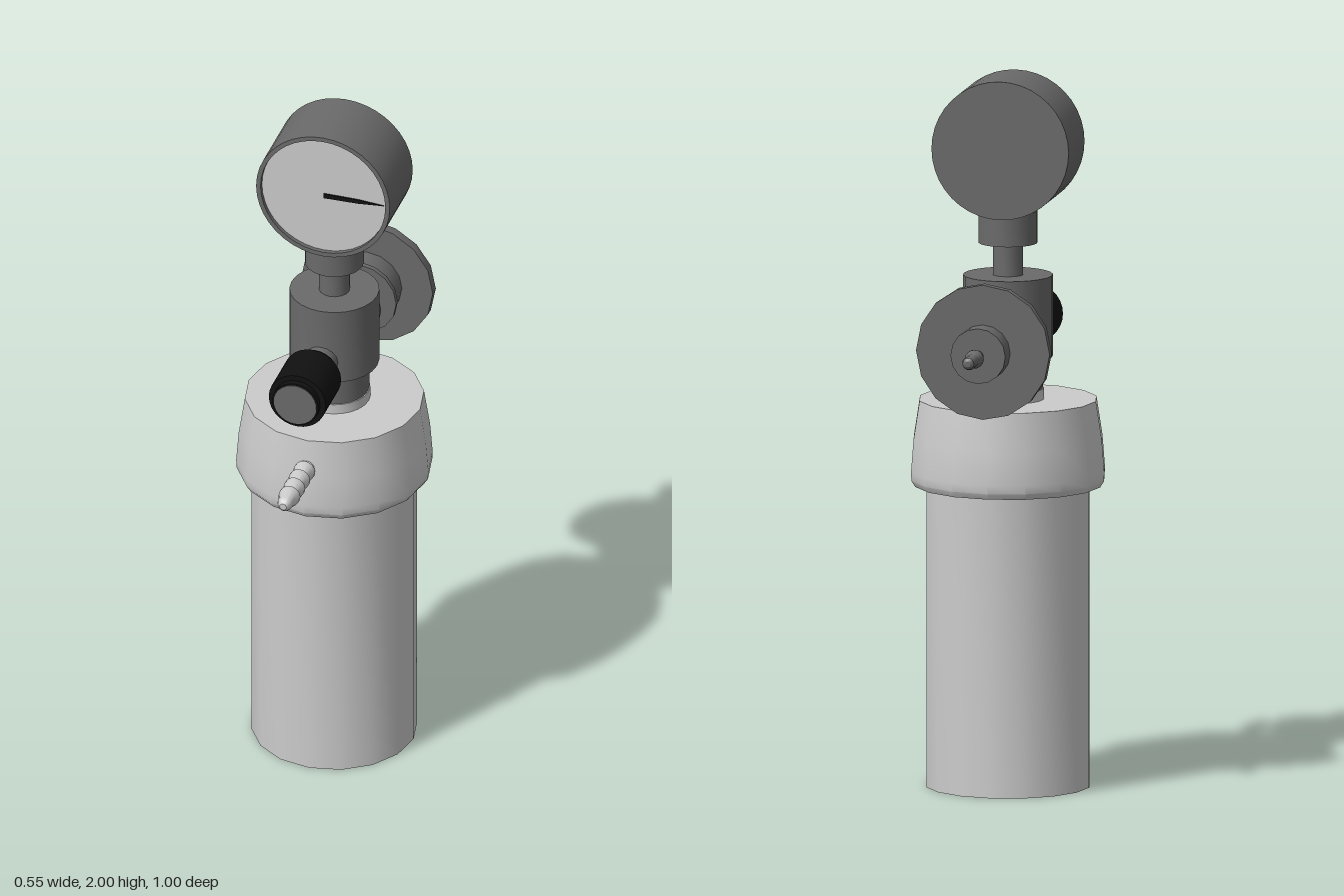
import * as THREE from 'three';
import { toCreasedNormals } from 'three/addons/utils/BufferGeometryUtils.js';

const AXIS_Z = 0.03;   // the bottle axis sits slightly forward
const VALVE_Y = 1.275; // height of the knob and the rear valve

const paint = (color) => new THREE.MeshStandardMaterial({ color });
const light = paint(0xcccccc);
const dark = paint(0x6a6a6a);
const black = paint(0x111111);
const copper = paint(0xd08a45);

// Solid of revolution about y from [radius, height] points, closed at both ends
function turned(points, sides) {
  const closed = [[0, points[0][1]], ...points, [0, points[points.length - 1][1]]];
  const profile = closed.map(([r, h]) => new THREE.Vector2(r, h));
  return toCreasedNormals(new THREE.LatheGeometry(profile, sides), 0.6);
}

// Stepped profile from [radius, start, end] bands
const bands = (list) => list.flatMap(([r, a, b]) => [[r, a], [r, b]]);

export function createModel() {
  const model = new THREE.Group();

  function add(name, geometry, material, y = 0, z = AXIS_Z) {
    const mesh = new THREE.Mesh(geometry, material);
    mesh.name = name;
    mesh.position.set(0, y, z);
    model.add(mesh);
    return mesh;
  }
  const upright = (name, points, material, sides = 16) =>
    add(name, turned(points, sides), material);
  // Profiles measured along +z (forward) or along -z (backward)
  const forward = (name, points, material, y, sides = 16) =>
    add(name, turned(points, sides).rotateX(Math.PI / 2), material, y, 0);
  const backward = (name, points, material, y, sides = 16) =>
    add(name, turned(points, sides).rotateX(-Math.PI / 2), material, y, 0);

  // Bottle and cap
  upright('bottle', bands([[0.231, 0, 0.87]]), light);
  upright('cap', [[0.262, 0.848], [0.273, 0.865], [0.274, 0.89], [0.267, 0.98], [0.25, 1.09]], light);
  const plug = upright('capPlug', bands([[0.03, 1.08, 1.12]]), dark);
  plug.position.z = -0.15;

  // Column between cap and gauge
  upright('neckRing', bands([[0.1, 1.08, 1.12]]), light, 24);
  upright('neck', bands([[0.097, 1.12, 1.22]]), dark, 24);
  upright('valveBlock', bands([[0.125, 1.21, 1.44]]), dark, 24);
  upright('gaugeStem', bands([[0.043, 1.43, 1.54]]), dark);
  upright('gaugeSocket', [[0.082, 1.53], [0.082, 1.62], [0.06, 1.635]], dark, 24);

  // Gauge: cup with a raised rim, dial and needle
  const gaugeY = 1.805;
  forward('gaugeCase', [[0.195, -0.075], [0.195, 0.135], [0.182, 0.135], [0.182, 0.12]], dark, gaugeY, 40);
  add('dial', new THREE.CircleGeometry(0.182, 40), light, gaugeY, 0.122);
  const pointer = new THREE.Shape([
    new THREE.Vector2(0, -0.007), new THREE.Vector2(0.1, -0.006),
    new THREE.Vector2(0.175, 0), new THREE.Vector2(0.1, 0.006), new THREE.Vector2(0, 0.007),
  ]);
  add('needle', new THREE.ExtrudeGeometry(pointer, { depth: 0.004, bevelEnabled: false }), black, gaugeY, 0.125);

  // Front knob on its spindle
  forward('knobSpindle', bands([[0.047, 0.13, 0.215]]), dark, VALVE_Y);
  forward('knob', bands([[0.068, 0.205, 0.228], [0.083, 0.228, 0.37], [0.067, 0.37, 0.388]]), black, VALVE_Y, 28);
  forward('knobFace', bands([[0.062, 0.38, 0.39]]), dark, VALVE_Y, 28);

  // Front hose barb: repeated flared rings and a rounded tip
  const barb = [[0.024, 0.25], [0.024, 0.3]];
  for (let i = 0; i < 4; i++) {
    const z = 0.3 + i * 0.045;
    barb.push([0.03, z], [0.03, z + 0.012], [0.022, z + 0.035]);
    if (i < 3) barb.push([0.022, z + 0.045]);
  }
  barb.push([0.022, 0.48], [0.018, 0.492], [0.01, 0.5]);
  forward('hoseBarb', barb, light, 1.005);

  // Rear valve: copper thread, spacer discs, hub and handwheel
  backward('rearSpindle', bands([[0.038, 0.06, 0.2]]), dark, VALVE_Y);
  const thread = [];
  for (let i = 0; i < 4; i++) {
    const z = 0.092 + i * 0.01;
    thread.push([0.039, z], [0.045, z + 0.003], [0.045, z + 0.007], [0.039, z + 0.01]);
  }
  backward('copperThread', thread, copper, VALVE_Y);
  backward('spacerDiscs', bands([
    [0.08, 0.13, 0.148], [0.045, 0.148, 0.16], [0.065, 0.16, 0.178],
    [0.042, 0.178, 0.19], [0.11, 0.19, 0.205],
  ]), dark, VALVE_Y);
  backward('hub', bands([[0.1, 0.2, 0.28]]), dark, VALVE_Y);
  backward('handwheel', bands([[0.19, 0.274, 0.302]]), dark, VALVE_Y);
  backward('handwheelBoss', bands([[0.078, 0.3, 0.367]]), dark, VALVE_Y);
  backward('rearNozzle', [
    [0.016, 0.36], [0.016, 0.403], [0.024, 0.403], [0.026, 0.41], [0.026, 0.42], [0.018, 0.432],
    [0.019, 0.485], [0.016, 0.494], [0.008, 0.5],
  ], dark, VALVE_Y);

  return model;
}
